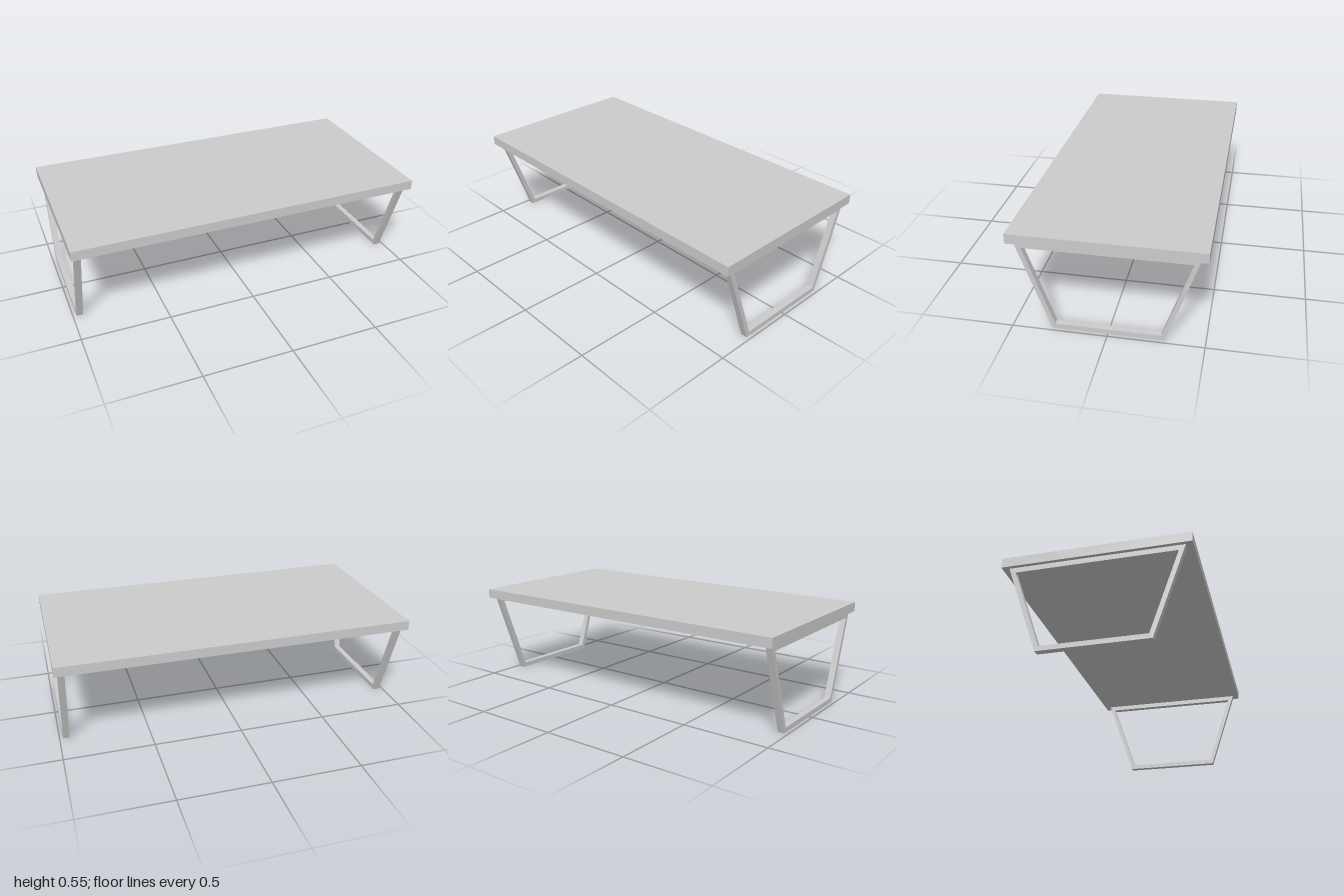
import * as THREE from 'three';

const material = new THREE.MeshStandardMaterial({ color: 0xcccccc });

// Extrudes a z-y profile along x, centred on the given x
function alongX(name, points, width, x, hole) {
  const shape = new THREE.Shape(points.map(([z, y]) => new THREE.Vector2(z, y)));
  if (hole) shape.holes.push(new THREE.Path(hole.map(([z, y]) => new THREE.Vector2(z, y))));
  const geometry = new THREE.ExtrudeGeometry(shape, { depth: width, bevelEnabled: false });
  geometry.translate(0, 0, -width / 2).rotateY(-Math.PI / 2);
  const mesh = new THREE.Mesh(geometry, material);
  mesh.name = name;
  mesh.position.x = x;
  return mesh;
}

// Symmetric trapezoid given by its half widths and heights
const trapezoid = (bottom, y0, top, y1) => [[-bottom, y0], [bottom, y0], [top, y1], [-top, y1]];

export function createModel() {
  const table = new THREE.Group();
  table.name = 'table';
  const y0 = 0.499, y1 = 0.553;

  // Table top: three flush boards with slanted joints
  const top = new THREE.Group();
  top.name = 'tableTop';
  top.add(
    alongX('centreBoard', trapezoid(0.17, y0, 0.21, y1), 2, 0),
    alongX('frontBoard', [[0.17, y0], [0.5, y0], [0.5, y1], [0.21, y1]], 2, 0),
    alongX('backBoard', [[-0.5, y0], [-0.17, y0], [-0.21, y1], [-0.5, y1]], 2, 0)
  );
  table.add(top);

  // Tapered leg frames at both ends
  for (const [name, side] of [['leftLegFrame', 1], ['rightLegFrame', -1]]) {
    table.add(alongX(name, trapezoid(0.293, 0, 0.463, y0), 0.036, side * 0.962,
      trapezoid(0.276, 0.027, 0.427, 0.47)));
  }
  return table;
}
